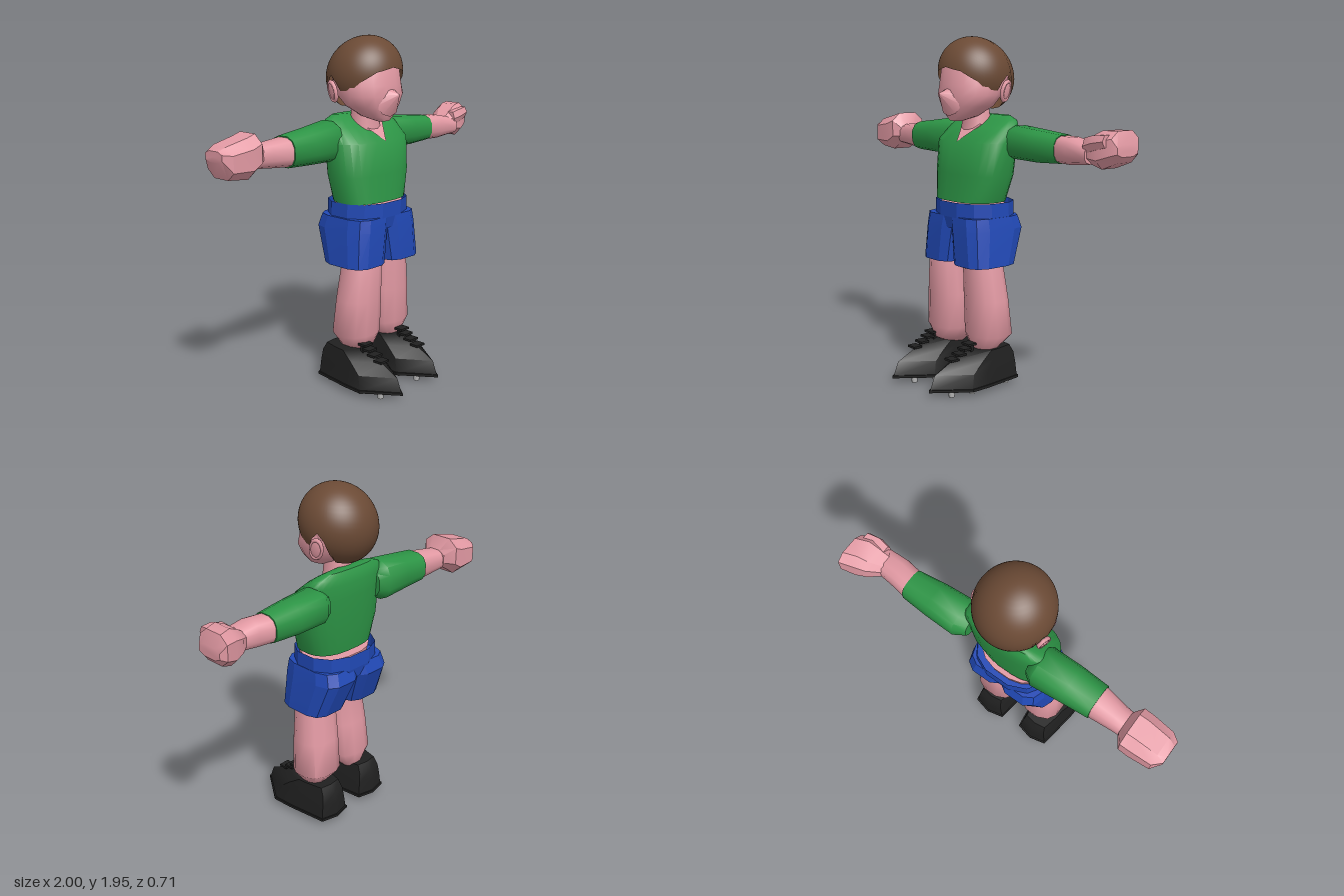
import * as THREE from 'three';
import { toCreasedNormals } from 'three/addons/utils/BufferGeometryUtils.js';

const material = (name, color, side = THREE.FrontSide) => {
  const m = new THREE.MeshStandardMaterial({ color, side });
  m.name = name;
  return m;
};

// Cross-section ring around an axis: [position, a0, a1, b0, b1].
// Axis y: a = x, b = z.  Axis x: a = z, b = y.
function oval([p, a0, a1, b0, b1], sides, power, axis) {
  const pow = (v) => Math.sign(v) * Math.abs(v) ** power;
  return Array.from({ length: sides }, (_, i) => {
    const t = ((i + 0.5) / sides) * Math.PI * 2;
    const a = (a0 + a1) / 2 + ((a1 - a0) / 2) * pow(Math.sin(t));
    const b = (b0 + b1) / 2 + ((b1 - b0) / 2) * pow(Math.cos(t));
    return axis === 'y' ? [a, p, b] : [p, b, a];
  });
}

// Skin over successive rings of points, with optional end caps.
function skinRings(rings, crease, capStart = true, capEnd = true) {
  const n = rings[0].length, last = rings.length - 1, pos = rings.flat(2), idx = [];
  for (let i = 0; i < last; i++) {
    for (let j = 0; j < n; j++) {
      const k = (j + 1) % n, a = i * n + j, b = i * n + k;
      idx.push(a, b, b + n, a, b + n, a + n);
    }
  }
  const cap = (r, flip) => {
    const c = pos.length / 3;
    for (let d = 0; d < 3; d++) pos.push(rings[r].reduce((s, q) => s + q[d], 0) / n);
    for (let j = 0; j < n; j++) {
      const a = r * n + j, b = r * n + ((j + 1) % n);
      idx.push(c, flip ? b : a, flip ? a : b);
    }
  };
  if (capStart) cap(0, true);
  if (capEnd) cap(last, false);
  const g = new THREE.BufferGeometry();
  g.setAttribute('position', new THREE.Float32BufferAttribute(pos, 3));
  g.setIndex(idx);
  return toCreasedNormals(g, crease);
}

function loft(rows, { sides = 16, power = 0.85, axis = 'y', crease = 0.8, caps = [true, true] } = {}) {
  return skinRings(rows.map((r) => oval(r, sides, power, axis)), crease, ...caps);
}

// Mirror ring rows across x = 0.
const mirrorRows = (rows) => rows.map(([y, x0, x1, z0, z1]) => [y, -x1, -x0, z0, z1]);

export function createModel() {
  const root = new THREE.Group();
  root.name = 'footballer';
  const skin = material('skin', 0xe39aa4);
  const green = material('shirt green', 0x2d9546);
  const blue = material('shorts blue', 0x2149b6, THREE.DoubleSide);
  const brown = material('hair brown', 0x6b4a35, THREE.DoubleSide);
  const black = material('boot black', 0x202020);
  const grey = material('stud grey', 0xbcbcbc);

  const add = (name, geometry, mat, parent = root) => {
    const mesh = new THREE.Mesh(geometry, mat);
    mesh.name = name;
    parent.add(mesh);
    return mesh;
  };

  // Head: skull, tapered face, nose and neck
  const skull = add('skull', new THREE.SphereGeometry(1, 24, 16), skin);
  skull.scale.set(0.185, 0.18, 0.18);
  skull.position.set(0, 1.745, -0.1);
  add('face', loft([
    [1.495, -0.04, 0.04, 0, 0.068], [1.52, -0.09, 0.09, -0.09, 0.08],
    [1.575, -0.155, 0.155, -0.18, 0.095], [1.635, -0.195, 0.195, -0.22, 0.105],
    [1.69, -0.19, 0.19, -0.24, 0.098], [1.79, -0.18, 0.18, -0.25, 0.085], [1.84, -0.15, 0.15, -0.22, 0.06],
  ], { power: 0.95, crease: 0.9 }), skin);
  const nose = add('nose', toCreasedNormals(new THREE.ConeGeometry(0.095, 0.105, 10), 1), skin);
  nose.rotation.x = Math.PI / 2 - 0.35;
  nose.position.set(0, 1.628, 0.108);
  add('neck', loft([[1.4, -0.085, 0.095, -0.18, -0.02], [1.48, -0.08, 0.085, -0.18, -0.03],
    [1.58, -0.07, 0.07, -0.17, -0.03]]), skin);

  // Ears with a raised rim
  for (const s of [1, -1]) {
    const ear = new THREE.Group();
    ear.name = s > 0 ? 'leftEar' : 'rightEar';
    ear.position.set(s * 0.205, 1.658, -0.145);
    ear.rotation.set(-0.2, s * 0.3, -s * 0.1);
    root.add(ear);
    add('earInner', new THREE.SphereGeometry(1, 12, 8), skin, ear).scale.set(0.013, 0.057, 0.037);
    const rim = add('earRim', new THREE.TorusGeometry(0.052, 0.012, 6, 16), skin, ear);
    rim.rotation.y = Math.PI / 2;
    rim.scale.set(0.65, 1, 1);
  }

  // Hair: dome leaning forward, its lower edge angle varying around the head (0 = front)
  const edge = [[0, 78], [28, 84], [52, 99], [64, 111], [84, 113], [92, 100], [104, 90], [112, 100], [120, 145], [180, 156]];
  const edgeAngle = (deg) => {
    const i = Math.max(1, edge.findIndex((e) => e[0] >= deg));
    const [d0, t0] = edge[i - 1], [d1, t1] = edge[i];
    return t0 + ((t1 - t0) * (deg - d0)) / (d1 - d0);
  };
  const hairGeo = new THREE.SphereGeometry(1, 90, 20, 0, Math.PI * 2, 0, 3);
  const hp = hairGeo.attributes.position, uv = hairGeo.attributes.uv, hn = hairGeo.attributes.normal;
  for (let i = 0; i < hp.count; i++) {
    const az = THREE.MathUtils.clamp(uv.getX(i) * 360 - 180, -180, 180);
    const theta = THREE.MathUtils.degToRad((1 - uv.getY(i)) * edgeAngle(Math.abs(az)));
    const phi = THREE.MathUtils.degToRad(az);
    const x = Math.sin(theta) * Math.sin(phi), y = Math.cos(theta), z = Math.sin(theta) * Math.cos(phi);
    hp.setXYZ(i, x * 0.213, y * 0.21, z * 0.21 + y * 0.03);
    hn.setXYZ(i, x, y, z);
  }
  add('hair', hairGeo, brown).position.set(0, 1.743, -0.103);

  // Shirt body, bare V at the collar, and the waist showing below the hem
  add('shirtBody', loft([
    [1.05, -0.22, 0.215, -0.215, 0.08], [1.2, -0.25, 0.265, -0.235, 0.062],
    [1.38, -0.257, 0.282, -0.245, 0.04], [1.46, -0.245, 0.27, -0.245, -0.06],
    [1.5, -0.22, 0.245, -0.235, -0.12], [1.525, -0.16, 0.18, -0.22, -0.16],
  ], { sides: 24, power: 0.75 }), green);
  const vee = new THREE.BufferGeometry();
  vee.setAttribute('position', new THREE.Float32BufferAttribute(
    [0.015, 1.38, 0.046, 0.1, 1.475, -0.064, -0.07, 1.475, -0.064], 3));
  vee.computeVertexNormals();
  add('collarOpening', vee, skin);
  add('waist', loft([[0.98, -0.19, 0.2, -0.23, 0.07], [1.03, -0.2, 0.21, -0.24, 0.08]]), skin);

  // Shorts: waistband, seat and two flared legs
  const cloth = { sides: 12, power: 0.85, crease: 0.1 };
  add('waistband', loft([[0.965, -0.228, 0.24, -0.28, 0.103], [1.05, -0.225, 0.238, -0.28, 0.105]],
    { ...cloth, caps: [false, false] }), blue);
  add('shortsSeat', loft([[0.9, -0.2, 0.21, -0.265, 0.09], [0.97, -0.226, 0.238, -0.278, 0.102]], cloth), blue);
  const shortsRows = [[0.7, 0.006, 0.267, -0.21, 0.107], [0.9, -0.025, 0.25, -0.29, 0.107], [0.97, -0.04, 0.238, -0.265, 0.1]];
  const shortsOpt = { ...cloth, power: 0.6, caps: [false, true] };
  add('leftShortsLeg', loft(shortsRows, shortsOpt), blue);
  add('rightShortsLeg', loft(mirrorRows(shortsRows), shortsOpt), blue);

  // Legs, the right one standing slightly further forward
  const legRows = (dz) => [[0.19, 0.1, 0.2, -0.12, -0.01], [0.23, 0.06, 0.22, -0.14, 0.02 + dz], [0.3, 0.01, 0.28, -0.2 + dz, 0.04 + dz],
    [0.5, 0.01, 0.265, -0.18 + dz, 0.045 + dz], [0.7, 0.015, 0.24, -0.155 + dz, 0.05 + dz], [0.9, 0.03, 0.2, -0.14, 0.04]];
  add('leftLeg', loft(legRows(0), { sides: 12, crease: 1 }), skin);
  add('rightLeg', loft(mirrorRows(legRows(0.045)), { sides: 12, crease: 1 }), skin);

  // Boots: pointed outline shrinking upward, sole plate, laces and studs
  const outline = [[0, 1], [1, 0.66], [0.95, 0.45], [0.72, 0.04], [0, 0], [-0.72, 0.04], [-0.95, 0.45], [-1, 0.66]];
  const bootRing = ([y, heel, toe, w]) => outline.map(([u, v]) => [u * w, y, heel + v * (toe - heel)]);
  const upper = skinRings([[0.04, -0.228, 0.342, 0.133], [0.12, -0.222, 0.31, 0.12],
    [0.18, -0.21, 0.19, 0.108], [0.225, -0.18, 0.07, 0.095]].map(bootRing), 0.7);
  const sole = skinRings([[0.03, -0.235, 0.35, 0.14], [0.045, -0.235, 0.35, 0.14]].map(bootRing), 0.1);
  for (const s of [1, -1]) {
    const boot = new THREE.Group();
    boot.name = s > 0 ? 'leftBoot' : 'rightBoot';
    boot.position.set(s > 0 ? 0.14 : -0.185, 0, s > 0 ? -0.012 : 0.006);
    root.add(boot);
    add('upper', upper, black, boot);
    add('sole', sole, black, boot);
    for (const [z, y] of [[0.19, 0.19], [0.14, 0.212], [0.1, 0.235], [0.07, 0.258]]) {
      add('lace', new THREE.BoxGeometry(0.065, 0.012, 0.055), black, boot).position.set(0, y, z);
    }
    add('tongue', new THREE.BoxGeometry(0.05, 0.07, 0.02), black, boot).position.set(0, 0.22, 0.065);
    for (const [x, z] of [[0.055, 0.235], [0.08, 0.11], [0.06, -0.15]]) {
      for (const side of [1, -1]) {
        add('stud', new THREE.CylinderGeometry(0.02, 0.016, 0.034, 8), grey, boot).position.set(side * x, 0.017, z);
      }
    }
  }

  // Arms run along x: rows are [x, z0, z1, y0, y1]
  const arm = { axis: 'x', sides: 12, power: 0.75, crease: 0.9 };
  const hand = { axis: 'x', sides: 8, power: 0.75, crease: 0.5 };
  add('leftSleeve', loft([[0.21, -0.26, -0.09, 1.3, 1.44], [0.27, -0.3, -0.09, 1.29, 1.475],
    [0.45, -0.295, -0.1, 1.285, 1.46], [0.61, -0.285, -0.12, 1.292, 1.445]], arm), green);
  add('leftForearm', loft([[0.6, -0.28, -0.125, 1.295, 1.44], [0.7, -0.265, -0.11, 1.295, 1.44],
    [0.84, -0.25, -0.11, 1.31, 1.41]], arm), skin);
  add('leftHand', loft([[0.77, -0.25, -0.13, 1.32, 1.41], [0.84, -0.31, -0.12, 1.305, 1.46], [0.9, -0.335, -0.12, 1.285, 1.49],
    [0.975, -0.36, -0.15, 1.32, 1.49], [1, -0.33, -0.17, 1.355, 1.42]], hand), skin);
  // Thumb folded across the front of the left fist
  add('leftThumb', loft([[0.82, -0.18, -0.115, 1.36, 1.45], [0.88, -0.18, -0.105, 1.38, 1.465],
    [0.95, -0.2, -0.12, 1.4, 1.47]], { ...hand, sides: 6 }), skin);
  add('rightSleeve', loft([[-0.56, -0.25, -0.06, 1.285, 1.455], [-0.4, -0.265, -0.055, 1.28, 1.475],
    [-0.22, -0.285, -0.06, 1.275, 1.5], [-0.17, -0.25, -0.08, 1.3, 1.46]], arm), green);
  add('rightForearm', loft([[-0.78, -0.23, -0.1, 1.31, 1.42], [-0.68, -0.235, -0.09, 1.3, 1.435],
    [-0.55, -0.245, -0.065, 1.29, 1.45]], arm), skin);
  add('rightHand', loft([[-1, -0.24, -0.1, 1.37, 1.43], [-0.955, -0.285, -0.065, 1.275, 1.455], [-0.83, -0.295, -0.055, 1.262, 1.485],
    [-0.775, -0.3, -0.06, 1.3, 1.5], [-0.735, -0.24, -0.1, 1.33, 1.43]], hand), skin);
  return root;
}
